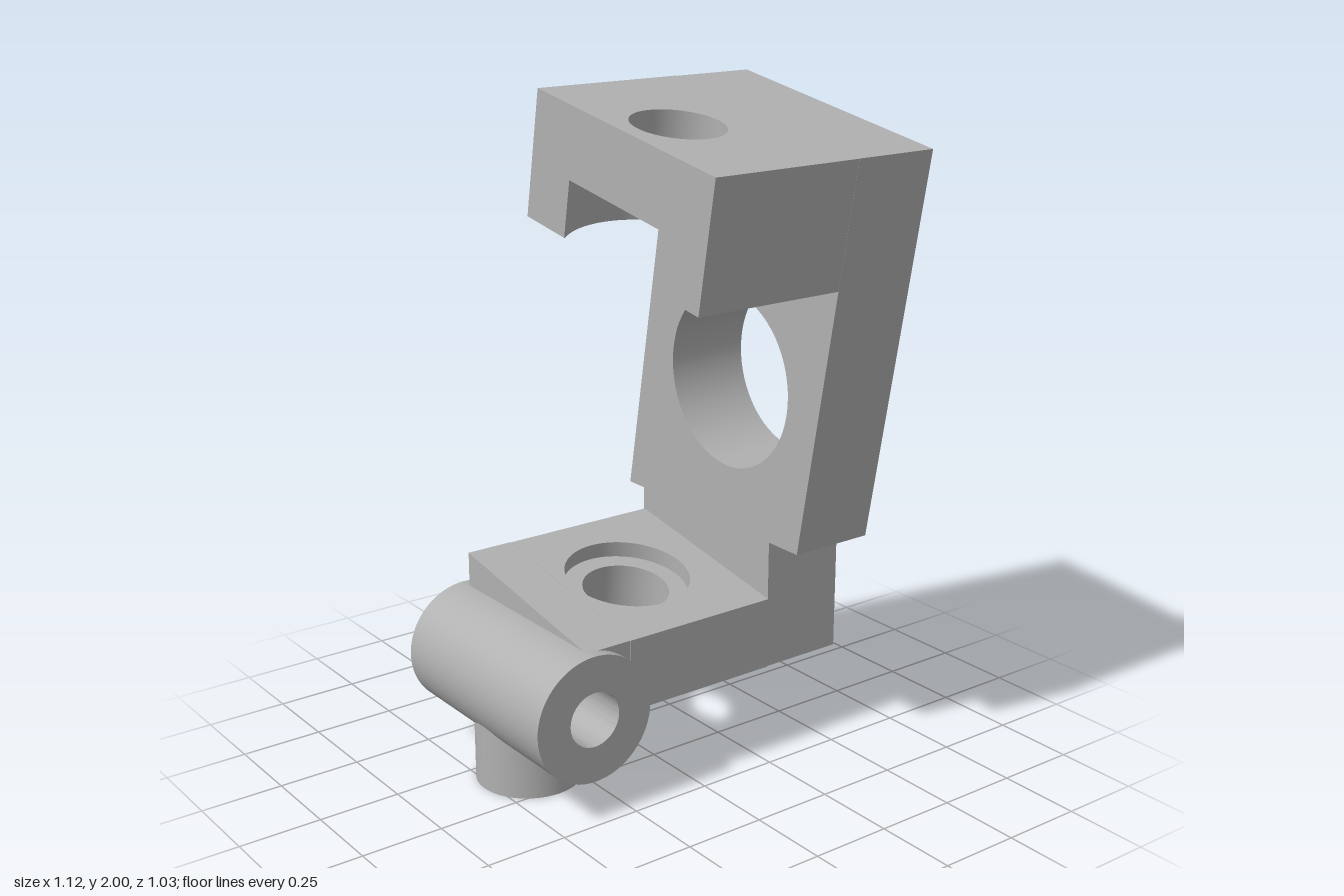
import * as THREE from 'three';
import { toCreasedNormals } from 'three/addons/utils/BufferGeometryUtils.js';

const TILT = THREE.MathUtils.degToRad(10);

const poly = (pts) => new THREE.Shape(pts.map(([a, b]) => new THREE.Vector2(a, b)));
const rect = (x0, x1, h) => poly([[x0, -h], [x1, -h], [x1, h], [x0, h]]);

function drill(shape, x, y, r) {
  shape.holes.push(new THREE.Path().absarc(x, y, r, 0, Math.PI * 2, true));
  return shape;
}

function ring(outer, inner) {
  return drill(new THREE.Shape().absarc(0, 0, outer, 0, Math.PI * 2, false), 0, 0, inner);
}

function extrude(shape, depth) {
  return new THREE.ExtrudeGeometry(shape, { depth, bevelEnabled: false, curveSegments: 32 });
}

// side profile given as (-z, y), extruded from x0 to x1
function alongX(shape, x0, x1) {
  return extrude(shape, x1 - x0).rotateY(Math.PI / 2).translate(x0, 0, 0);
}

// plan shape (x, -z), extruded upward from y0 to y1
function alongY(shape, y0, y1) {
  return extrude(shape, y1 - y0).rotateX(-Math.PI / 2).translate(0, y0, 0);
}

export function createModel() {
  const model = new THREE.Group();
  const grey = new THREE.MeshStandardMaterial({ color: 0xb0b0b0 });
  grey.name = 'grey';

  const add = (name, geometry, parent = model) => {
    const mesh = new THREE.Mesh(toCreasedNormals(geometry, Math.PI / 6), grey);
    mesh.name = name;
    parent.add(mesh);
    return mesh;
  };

  // Leaning column with a large cross hole
  const column = poly([[-0.305, 0.68], [0.515, 0.68], [0.282, 2.0], [-0.514, 1.861]]);
  add('column', alongX(drill(column, 0.02, 1.137, 0.27), 0.29, 0.56));

  // Upright foot of the column
  add('columnFoot', alongX(poly([[-0.18, 0.281], [0.44, 0.39], [0.44, 0.68], [-0.18, 0.68]]), 0.29, 0.56));

  // Tilted frame shared by the base plate and the upper arm
  const tilted = new THREE.Group();
  tilted.name = 'tiltedParts';
  tilted.position.set(0, 0.555, -0.127);
  tilted.rotation.x = TILT;
  model.add(tilted);
  const cx = -0.005;

  // Base plate: through hole below, wider recess on top; end walls stay vertical
  const plateLayer = (name, y0, y1, r) => {
    const geometry = alongY(drill(rect(-0.22, 0.29, 0.314), cx, 0, r), y0, y1);
    const p = geometry.attributes.position;
    for (let i = 0; i < p.count; i++) {
      if (Math.abs(p.getZ(i)) > 0.25) p.setZ(i, p.getZ(i) - p.getY(i) * Math.tan(TILT));
    }
    add(name, geometry, tilted);
  };
  plateLayer('basePlate', -0.217, -0.05, 0.132);
  plateLayer('basePlateRecess', -0.05, 0, 0.19);

  // Plate end riding over the pivot tube, clear of its bore
  add('basePlateEnd', alongX(poly([[-0.18, 0.41], [0.44, 0.41], [0.44, 0.609], [-0.18, 0.5]]), -0.37, -0.22));

  // Upper arm: top slab with hole, shallow recess, and a round pocket open at the end
  const armHalf = 0.404;
  add('armTop', alongY(drill(rect(-0.193, 0.29, armHalf), cx, 0, 0.135), 1.24, 1.397), tilted);
  add('armRecess', alongY(drill(rect(-0.193, 0.29, armHalf), cx, 0, 0.17), 1.19, 1.24), tilted);
  const pocketAngle = Math.atan2(0.215, -0.19);
  const pocket = poly([[-0.193, -armHalf], [0.29, -armHalf], [0.29, armHalf], [-0.193, armHalf], [-0.193, 0.215]]);
  pocket.absarc(0, 0, 0.287, pocketAngle, -pocketAngle, true);
  pocket.lineTo(-0.193, -0.215);
  add('armPocket', alongY(pocket, 1.021, 1.19), tilted);

  // Horizontal pivot tube and the short hollow stub below it
  add('pivotTube', extrude(ring(0.193, 0.083), 0.695).translate(-0.367, 0.31, -0.48));
  add('stub', alongY(ring(0.16, 0.068), 0, 0.215).translate(-0.367, 0, -0.13));

  return model;
}
